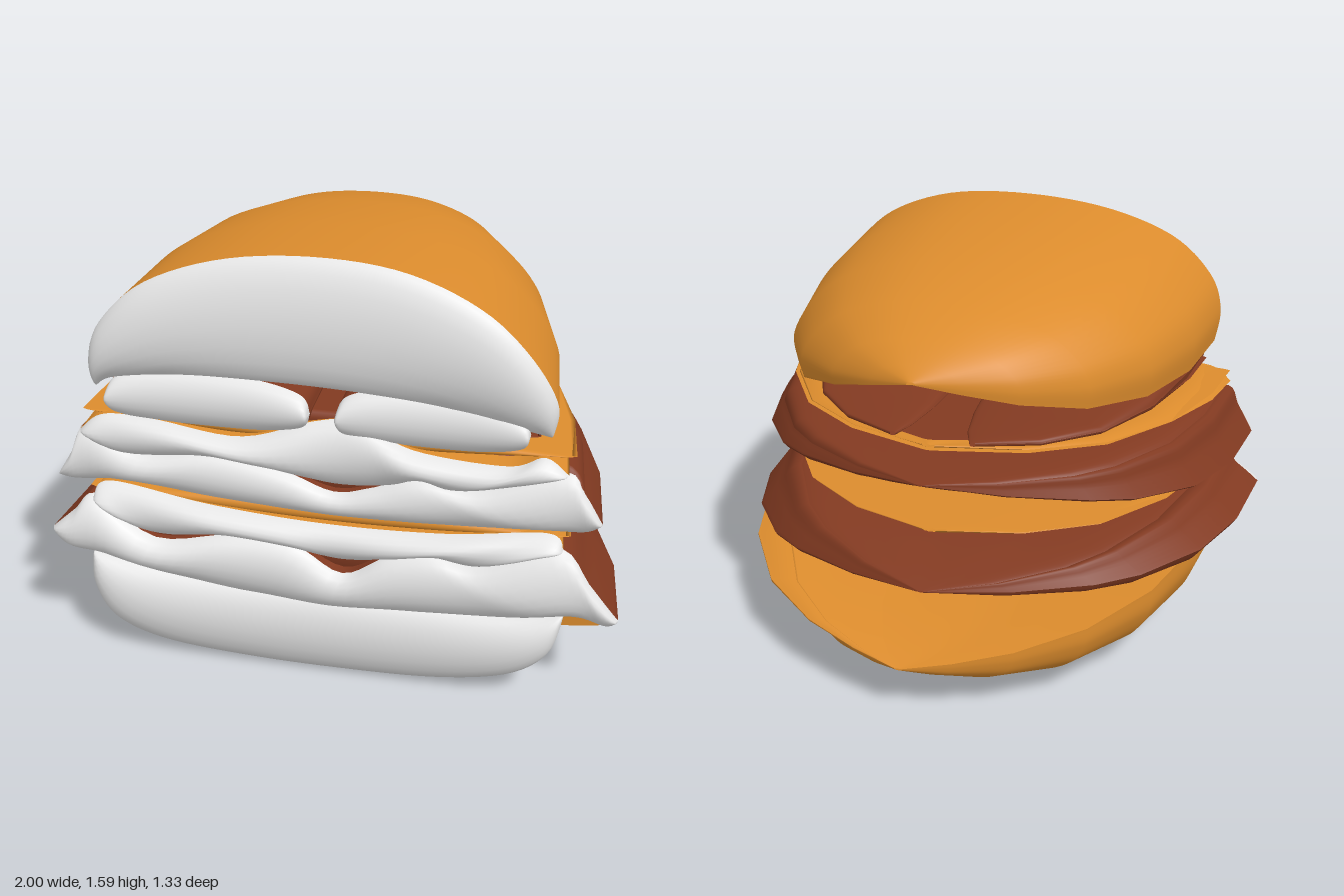
import * as THREE from 'three';

const mat = (name, color) => {
  const m = new THREE.MeshStandardMaterial({ color, side: THREE.DoubleSide });
  m.name = name;
  return m;
};

const COLS = 56, ROWS = 10;

// Back tapers as rows of [z, width scale, height scale]
const BUN = [[0.2, 0.96, 0.94], [-0.14, 0.85, 0.8], [-0.4, 0.66, 0.6], [-0.56, 0.42, 0.36], [-0.64, 0.2, 0.16], [-0.685, 0.02, 0.02]];
const FILLING = [[0.25, 0.97, 0.94], [-0.02, 0.88, 0.82], [-0.25, 0.71, 0.6], [-0.36, 0.57, 0.44], [-0.49, 0.3, 0.22], [-0.57, 0.02, 0.02]];
const SHEET = [[0.3, 0.97, 0.6], [0, 0.86, 0.25], [-0.25, 0.66, 0.14], [-0.4, 0.38, 0.1], [-0.48, 0.03, 0.05]];

function surface(grid, material, name) {
  const w = grid[0].length, pos = [], idx = [];
  grid.forEach(row => row.forEach(p => pos.push(...p)));
  for (let i = 0; i < grid.length - 1; i++) {
    for (let j = 0; j < w - 1; j++) {
      const a = i * w + j, b = a + w;
      idx.push(a, b, a + 1, a + 1, b, b + 1);
    }
  }
  const g = new THREE.BufferGeometry();
  g.setAttribute('position', new THREE.Float32BufferAttribute(pos, 3));
  g.setIndex(idx);
  g.computeVertexNormals();
  const mesh = new THREE.Mesh(g, material);
  mesh.name = name;
  return mesh;
}

// A layer: puffed front between two edge curves, and a side that narrows to the back
function layer(name, { top, bottom, apex, taper, rim = 0.54, swell = 0.05, puff = 0.07, front, side }) {
  const curve = pts => new THREE.SplineCurve(pts.map(p => new THREE.Vector2(...p)));
  const ends = [top[0], top[top.length - 1]];
  const upper = curve(top).getPoints(COLS);
  const lower = curve([ends[0], ...bottom, ends[1]]).getPoints(COLS);
  const outline = [...upper, ...lower.slice(0, -1).reverse()];
  const ys = outline.map(p => p.y);
  const lo = Math.min(...ys), hi = Math.max(...ys);
  const rimZ = y => rim + swell * (1 - ((2 * y - lo - hi) / (hi - lo)) ** 2);

  const cap = [];
  for (let r = 0; r <= ROWS; r++) {
    const t = (1 - Math.cos(Math.PI * r / ROWS)) / 2;
    cap.push(upper.map((p, i) => {
      const q = lower[i];
      const x = p.x + (q.x - p.x) * t, y = p.y + (q.y - p.y) * t;
      const edge = rimZ(p.y) + (rimZ(q.y) - rimZ(p.y)) * t;
      const u = 2 * i / COLS - 1;
      const dome = Math.pow(Math.max(0, 1 - (2 * t - 1) ** 2), 0.6) * Math.sqrt(Math.max(0, 1 - u ** 4));
      return [x, y, edge + puff * dome];
    }));
  }

  const rings = [outline.map(p => [p.x, p.y, rimZ(p.y)])];
  taper.forEach(([z, sx, sy]) => rings.push(outline.map(p =>
    [apex[0] + (p.x - apex[0]) * sx, apex[1] + (p.y - apex[1]) * sy, z])));
  // Rings run front to back, so reverse them to face outward
  const group = new THREE.Group();
  group.name = name;
  group.add(surface(cap, front, name + 'Front'),
    surface(rings.reverse(), side, name + 'Side'));
  return group;
}

export function createModel() {
  const white = mat('pale front', 0xe6e6e6);
  const orange = mat('bun orange', 0xdc8c2d);
  const brown = mat('patty brown', 0x823a21);
  const model = new THREE.Group();
  model.name = 'burger';
  const add = (name, o) => model.add(layer(name, o));

  // Buns
  add('topBun', {
    top: [[-0.79, 1.08], [-0.8, 1.2], [-0.75, 1.33], [-0.6, 1.47], [-0.35, 1.56], [-0.05, 1.59], [0.25, 1.565], [0.5, 1.47], [0.66, 1.33], [0.75, 1.17], [0.74, 1.04]],
    bottom: [[-0.72, 1.12], [-0.5, 1.15], [-0.2, 1.155], [0.1, 1.145], [0.4, 1.115], [0.62, 1.06]],
    apex: [-0.02, 1.31], taper: BUN, front: white, side: orange,
  });
  add('bottomBun', {
    top: [[-0.87, 0.4], [-0.6, 0.37], [-0.3, 0.34], [0, 0.33], [0.3, 0.33], [0.6, 0.34], [0.82, 0.37]],
    bottom: [[-0.86, 0.28], [-0.78, 0.14], [-0.6, 0.05], [-0.3, 0.01], [0, 0.002], [0.35, 0.02], [0.62, 0.09], [0.77, 0.21]],
    apex: [0.05, 0.21], taper: BUN, front: white, side: orange,
  });
  add('bottomBunEdge', {
    top: [[0.3, 0.33], [0.6, 0.35], [0.85, 0.37], [0.98, 0.35]],
    bottom: [[0.55, 0.27], [0.8, 0.3], [0.96, 0.325]],
    apex: [0.05, 0.21], taper: BUN, swell: 0, puff: 0, front: orange, side: orange,
  });

  // Patties behind the lettuce fronts
  [['upperPatty', 0.83, 0.89], ['lowerPatty', 0.52, 0.47]].forEach(([name, y, ay]) => add(name, {
    top: [[-0.87, y], [-0.8, y + 0.1], [-0.4, y + 0.12], [0, y + 0.12], [0.4, y + 0.12], [0.78, y + 0.1], [0.86, y]],
    bottom: [[-0.8, y - 0.1], [-0.4, y - 0.13], [0, y - 0.14], [0.4, y - 0.13], [0.78, y - 0.1]],
    apex: [0, ay], taper: FILLING, rim: 0.5, puff: 0.05, front: brown, side: brown,
  }));

  // Wavy lettuce
  add('upperLettuce', {
    top: [[-0.96, 0.72], [-0.9, 0.82], [-0.85, 0.91], [-0.65, 0.83], [-0.4, 0.86], [-0.15, 0.82], [0.02, 0.76], [0.15, 0.79], [0.3, 0.84], [0.5, 0.82], [0.78, 0.91], [0.86, 0.84], [0.92, 0.74]],
    bottom: [[-0.9, 0.7], [-0.7, 0.72], [-0.4, 0.68], [0, 0.66], [0.4, 0.665], [0.7, 0.69], [0.86, 0.7]],
    apex: [0, 0.89], taper: FILLING, swell: 0.03, puff: 0.06, front: white, side: brown,
  });
  add('lowerLettuce', {
    top: [[-1, 0.5], [-0.92, 0.57], [-0.84, 0.63], [-0.62, 0.5], [-0.35, 0.54], [-0.12, 0.53], [0.05, 0.44], [0.2, 0.52], [0.35, 0.55], [0.5, 0.53], [0.78, 0.62], [0.9, 0.5], [1, 0.37]],
    bottom: [[-0.94, 0.43], [-0.8, 0.41], [-0.55, 0.35], [-0.3, 0.3], [0, 0.28], [0.35, 0.3], [0.65, 0.33], [0.85, 0.37], [0.96, 0.34]],
    apex: [0, 0.47], taper: FILLING, swell: 0.04, puff: 0.07, front: white, side: brown,
  });

  // Melted cheese drapes
  add('upperCheese', {
    top: [[-0.86, 0.91], [-0.78, 0.97], [-0.6, 0.97], [-0.3, 0.94], [-0.05, 1.01], [0.1, 1.02], [0.3, 0.95], [0.6, 0.93], [0.72, 0.97], [0.8, 0.92]],
    bottom: [[-0.7, 0.83], [-0.4, 0.86], [-0.2, 0.84], [0.02, 0.78], [0.2, 0.8], [0.32, 0.85], [0.42, 0.82], [0.65, 0.87]],
    apex: [0, 1.0], taper: SHEET, swell: 0.04, puff: 0.07, front: white, side: orange,
  });
  add('lowerCheese', {
    top: [[-0.84, 0.64], [-0.78, 0.69], [-0.4, 0.65], [0, 0.63], [0.4, 0.64], [0.74, 0.675], [0.8, 0.63]],
    bottom: [[-0.72, 0.56], [-0.58, 0.51], [-0.35, 0.55], [-0.1, 0.53], [0.05, 0.485], [0.2, 0.52], [0.35, 0.56], [0.5, 0.53], [0.7, 0.6]],
    apex: [0, 0.67], taper: SHEET, swell: 0.04, puff: 0.07, front: white, side: orange,
  });

  // Flat cheese slices
  [['upperCheeseSlice', 0.97], ['lowerCheeseSlice', 0.665]].forEach(([name, y]) => add(name, {
    top: [[-0.86, y], [-0.4, y + 0.015], [0, y + 0.01], [0.4, y + 0.015], [0.82, y]],
    bottom: [[-0.4, y - 0.03], [0, y - 0.04], [0.4, y - 0.03]],
    apex: [0, y + 0.01], taper: SHEET, swell: 0, puff: 0.02, front: orange, side: orange,
  }));

  // Tomato slices on a thin brown base
  [['rightTomato', -0.76, -0.055, -0.15], ['leftTomato', 0.03, 0.67, 0.12]].forEach(([name, a, b, ax]) => {
    const at = f => a + (b - a) * f;
    add(name, {
      top: [[a, 1.05], [at(0.06), 1.12], [at(0.3), 1.15], [at(0.7), 1.145], [at(0.95), 1.11], [b, 1.05]],
      bottom: [[at(0.05), 0.98], [at(0.3), 0.955], [at(0.7), 0.955], [at(0.95), 0.99]],
      apex: [ax, 1.02], taper: SHEET.map(([z, sx, sy]) => [z, sx, Math.min(1, sy * 1.5)]),
      swell: 0.03, puff: 0.06, front: white, side: brown,
    });
  });
  add('tomatoBase', {
    top: [[-0.77, 1.02], [-0.4, 1.04], [0, 1.04], [0.4, 1.04], [0.7, 1.02]],
    bottom: [[-0.4, 0.99], [0, 0.98], [0.4, 0.99]],
    apex: [0, 1.02], taper: SHEET, rim: 0.52, swell: 0, puff: 0.02, front: brown, side: brown,
  });
  return model;
}
